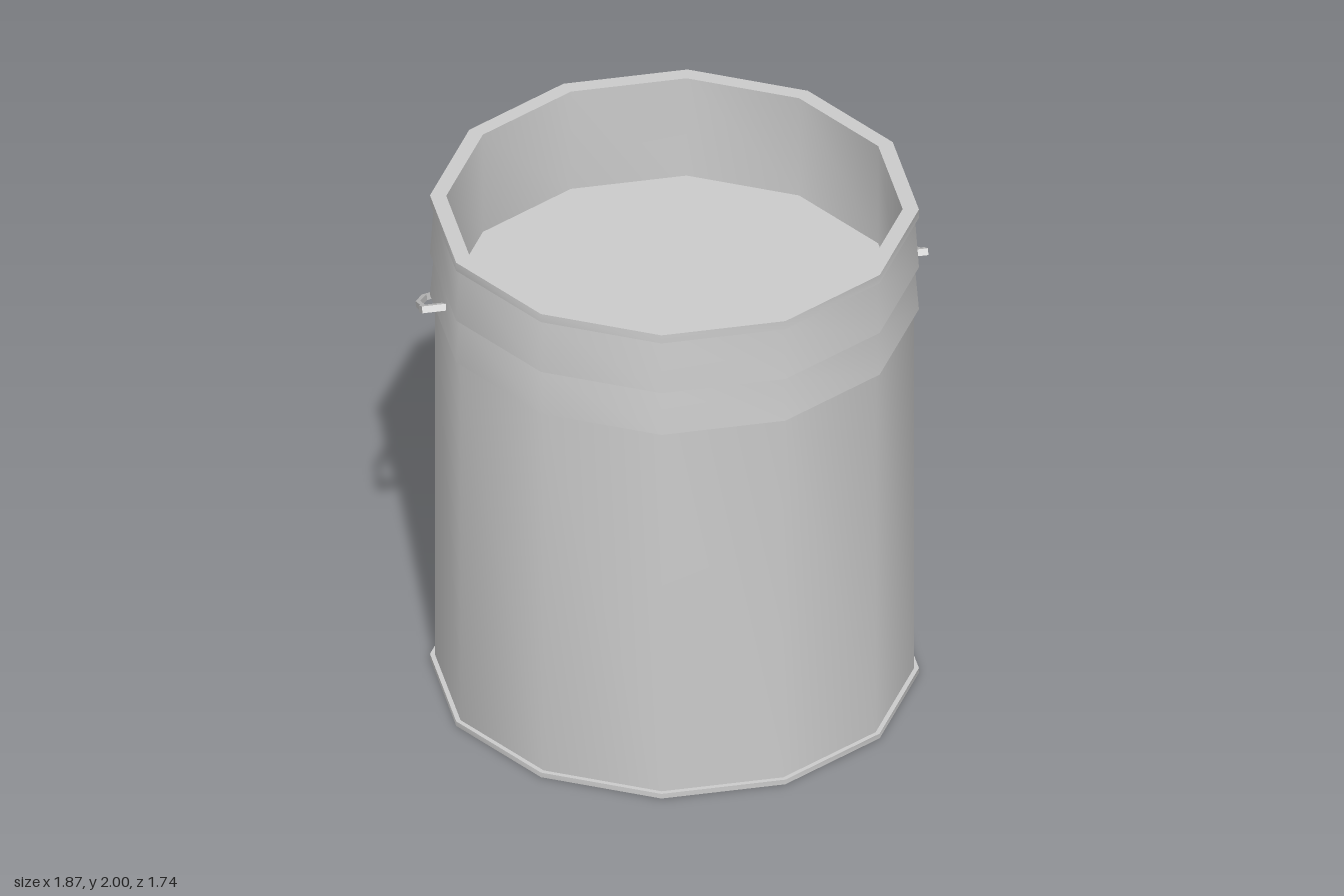
import * as THREE from 'three';
import { toCreasedNormals } from 'three/addons/utils/BufferGeometryUtils.js';

const SIDES = 12;
const CENTRE_Z = 0.016;
const FLAT = Math.cos(Math.PI / SIDES); // apothem / corner radius
const material = new THREE.MeshStandardMaterial({ color: 0xcccccc, side: THREE.DoubleSide });

function addMesh(parent, name, geometry) {
  const mesh = new THREE.Mesh(geometry, material);
  mesh.name = name;
  parent.add(mesh);
  return mesh;
}

// Twelve-sided wall from [distance to flat, height] pairs
function ring(profile) {
  const points = profile.map(([r, y]) => new THREE.Vector2(r / FLAT, y));
  const lathe = new THREE.LatheGeometry(points, SIDES, Math.PI / SIDES);
  return toCreasedNormals(lathe, 0.65);
}

export function createModel() {
  const model = new THREE.Group();
  model.name = 'bucket';

  const body = new THREE.Group();
  body.name = 'body';
  body.position.z = CENTRE_Z;
  model.add(body);

  // Open-bottomed shell: hem, wall, two flared bands, rim and inner wall
  addMesh(body, 'shell', ring([
    [0.84, 0], [0.857, 0], [0.857, 0.02], [0.84, 0.02],
    [0.84, 1.57], [0.857, 1.57], [0.843, 1.75],
    [0.857, 1.75], [0.843, 1.965],
    [0.857, 1.965], [0.857, 2], [0.8, 2], [0.8, 1.58],
  ]));

  // Raised floor inside
  const floor = addMesh(body, 'floor', new THREE.CircleGeometry(0.8 / FLAT, SIDES, Math.PI / SIDES));
  floor.rotation.x = -Math.PI / 2;
  floor.position.y = 1.58;

  // Handle lies in a plane sloping down to the back; local +y runs along the slope
  const handle = new THREE.Group();
  handle.name = 'handle';
  handle.position.y = 1.654;
  handle.rotation.x = Math.atan2(-0.879, -0.478);
  model.add(handle);

  // Faceted bail, extruded from half an outline that is mirrored
  const half = [[0.93, 0.02], [0.91, 0.24], [0.84, 0.486], [0.668, 0.726], [0.402, 0.912]];
  const outer = [...half, [0, 0.984], ...half.map(([x, y]) => [-x, y]).reverse()];
  const inner = outer.map(([x, y]) => [x * 0.982, y * 0.982]).reverse();
  const outline = new THREE.Shape([...outer, ...inner].map(([x, y]) => new THREE.Vector2(x, y)));
  const bail = new THREE.ExtrudeGeometry(outline, { depth: 0.022, bevelEnabled: false });
  addMesh(handle, 'bail', bail.translate(0, 0, -0.011));

  // Flat tabs joining the bail to the wall
  for (const side of [1, -1]) {
    const tab = addMesh(handle, side > 0 ? 'leftTab' : 'rightTab', new THREE.BoxGeometry(0.1, 0.065, 0.025));
    tab.position.x = side * 0.887;
  }

  return model;
}
